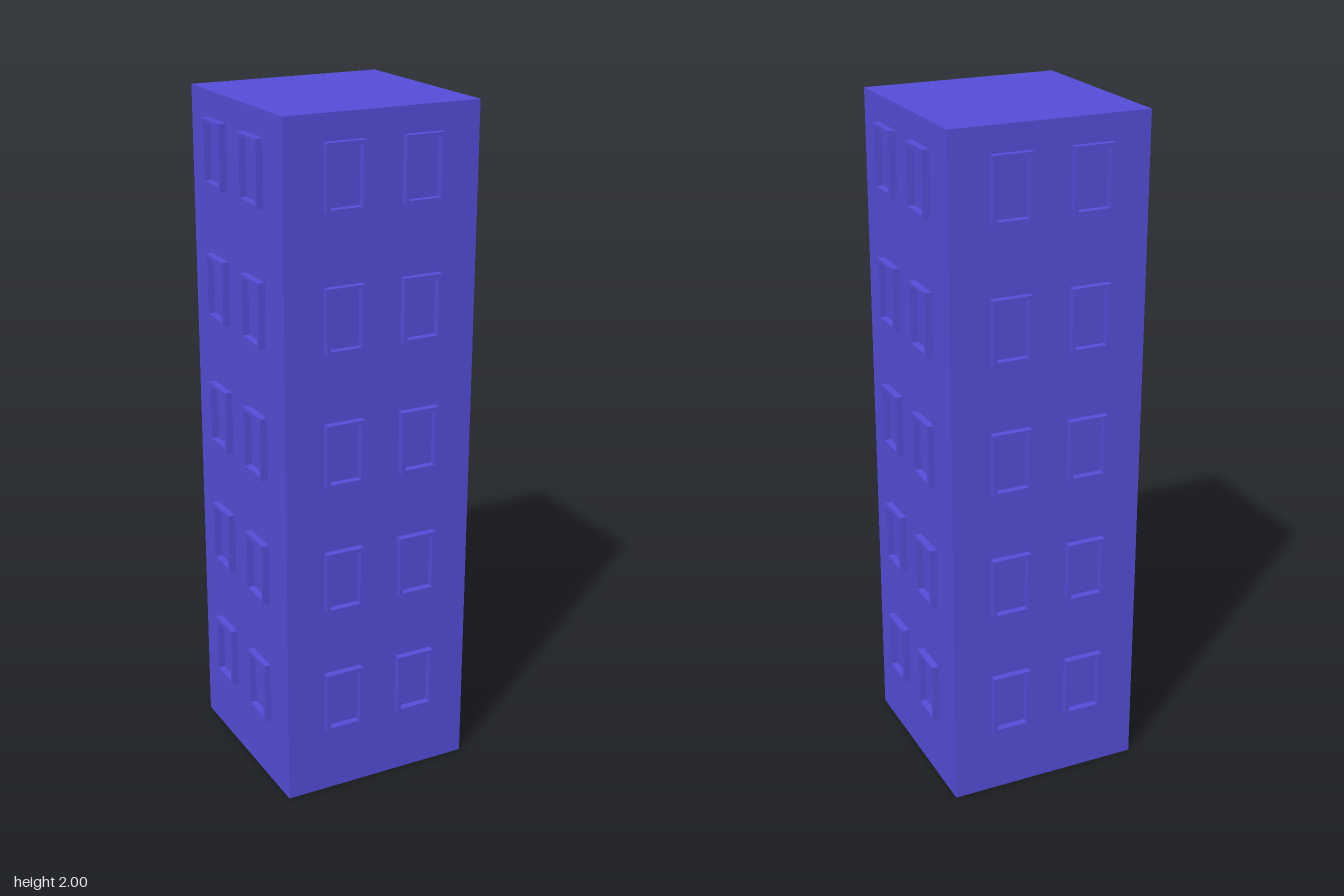
import * as THREE from 'three';

const HALF = 0.292;          // half width of the tower
const FRAME_W = 0.117, FRAME_H = 0.185, FRAME_DEPTH = 0.021, BORDER = 0.011;

function rectPath(path, w, h) {
  path.moveTo(-w / 2, -h / 2);
  path.lineTo(w / 2, -h / 2);
  path.lineTo(w / 2, h / 2);
  path.lineTo(-w / 2, h / 2);
  path.closePath();
  return path;
}

export function createModel() {
  const group = new THREE.Group();
  group.name = 'towerBlock';
  const material = new THREE.MeshStandardMaterial({ color: 0x544dd8 });

  // Main body
  const body = new THREE.Mesh(new THREE.BoxGeometry(HALF * 2, 2, HALF * 2), material);
  body.name = 'towerBody';
  body.position.y = 1;
  group.add(body);

  // Raised window frame, open to the wall behind it
  const shape = rectPath(new THREE.Shape(), FRAME_W, FRAME_H);
  shape.holes.push(rectPath(new THREE.Path(), FRAME_W - 2 * BORDER, FRAME_H - 2 * BORDER));
  const frameGeometry = new THREE.ExtrudeGeometry(shape, { depth: FRAME_DEPTH, bevelEnabled: false });

  // Two columns of five windows on each of the four walls
  for (let side = 0; side < 4; side++) {
    const wall = new THREE.Group();
    wall.name = 'windowWall' + (side + 1);
    wall.rotation.y = side * Math.PI / 2;
    for (let floor = 0; floor < 5; floor++) {
      for (const x of [-0.1175, 0.1175]) {
        const frame = new THREE.Mesh(frameGeometry, material);
        frame.name = 'windowFrame';
        frame.position.set(x, 0.296 + floor * 0.3845, HALF);
        wall.add(frame);
      }
    }
    group.add(wall);
  }
  return group;
}
